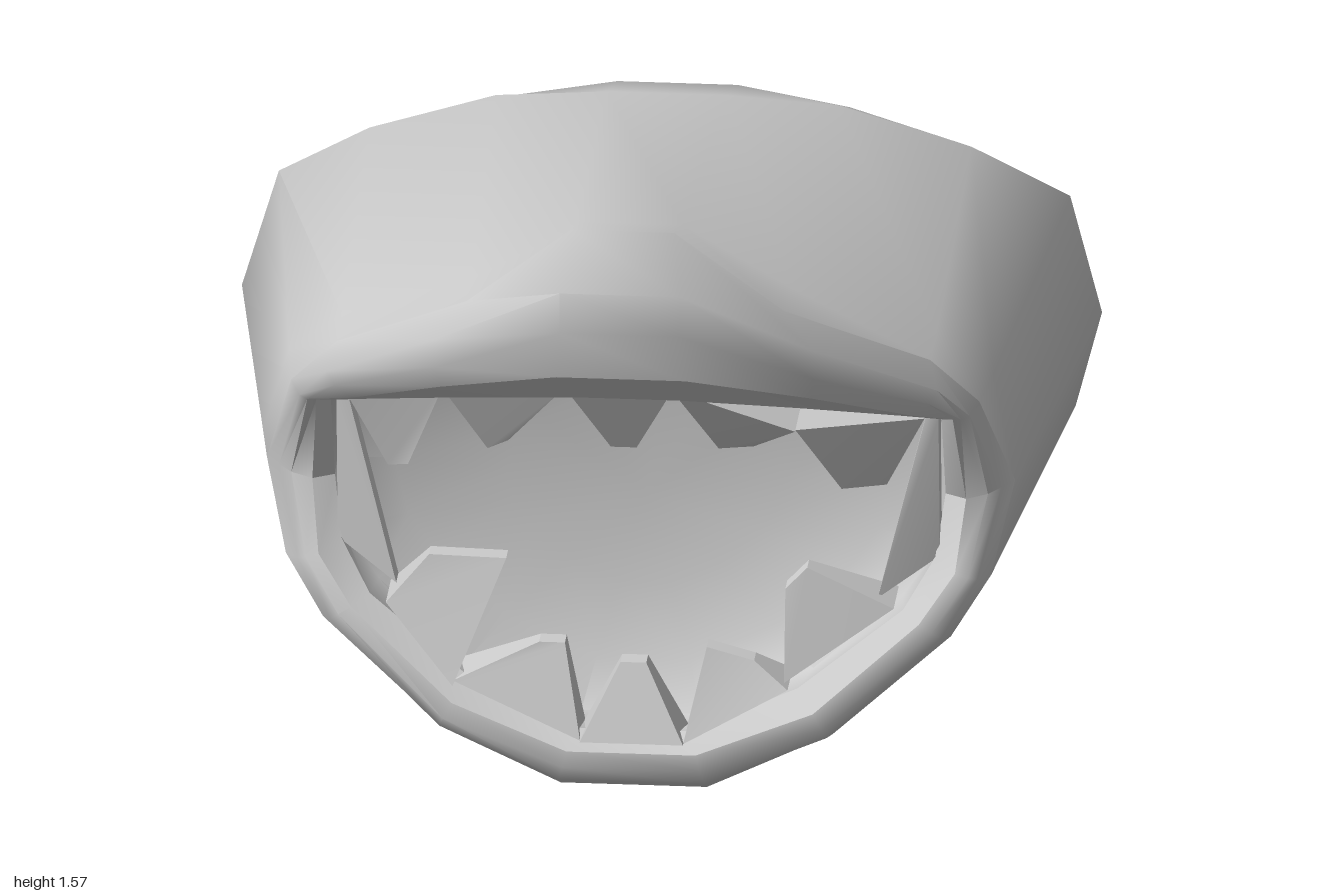
import * as THREE from 'three';
import { toCreasedNormals } from 'three/addons/utils/BufferGeometryUtils.js';

const material = new THREE.MeshStandardMaterial({ color: 0xcccccc, side: THREE.DoubleSide });

// Half cross-sections on the left side, from the crown down to the chin.
const backRim = [[.14, 1.14, -.85], [.4, 1.11, -.85], [.62, 1.06, -.85], [.78, .97, -.85], [.78, .76, -.85],
  [.72, .59, -.85], [.62, .44, -.85], [.46, .22, -.85], [.14, .11, -.85]];
const widest = [[.14, 1.42, -.44], [.4, 1.39, -.47], [.7, 1.27, -.54], [.92, 1.11, -.65], [1, .85, -.58],
  [.94, .62, -.57], [.81, .44, -.54], [.56, .19, -.47], [.18, 0, -.44]];
const frontEdge = [[.12, 1.57, .78], [.37, 1.35, .7], [.69, 1.15, .48], [.8, 1.03, .43], [.87, .77, .27],
  [.82, .56, .34], [.73, .42, .38], [.46, .19, .44], [.17, .06, .47]];
const lipFront = [[.14, 1.44, .855], [.44, 1.26, .72], [.71, 1.09, .52], [.78, 1, .45], [.84, .76, .29],
  [.79, .56, .37], [.71, .43, .42], [.45, .2, .49], [.17, .09, .525]];
const lipMid = [[.14, 1.34, .855], [.44, 1.19, .72], [.69, 1.06, .53], [.76, .995, .46], [.81, .75, .31],
  [.77, .57, .39], [.69, .45, .44], [.44, .23, .52], [.16, .13, .55]];
const lipInner = [[.15, 1.22, .83], [.43, 1.13, .69], [.65, 1.03, .53], [.74, .99, .45], [.76, .74, .32],
  [.74, .58, .39], [.66, .47, .44], [.42, .27, .52], [.15, .17, .55]];
const gumEdge = [[.12, 1.11, .68], [.39, 1.06, .58], [.62, 1, .46], [.71, .97, .4], [.71, .74, .29],
  [.69, .6, .34], [.62, .49, .4], [.38, .31, .46], [.13, .21, .5]];

const mix = (a, b, t) => a.map((p, i) => p.map((v, k) => v + (b[i][k] - v) * t));
// Lifts a section, most at the crown and not at all below the cheeks.
const lift = (half, dy, dz = 0) => half.map(([x, y, z], i) => {
  const w = Math.max(0, 1 - i / 4);
  return [x, y + dy * w, z + dz * w];
});

// Skins mirrored cross-sections into one surface.
function loft(halves, crease) {
  const rings = halves.map(h => [...h, ...[...h].reverse().map(([x, y, z]) => [-x, y, z])]);
  const n = rings[0].length, index = [];
  for (let r = 0; r < rings.length - 1; r++) {
    for (let j = 0; j < n; j++) {
      const k = (j + 1) % n;
      const a = r * n + j, b = a + n, c = (r + 1) * n + k, d = r * n + k;
      index.push(a, b, c, a, c, d);
    }
  }
  const g = new THREE.BufferGeometry();
  g.setAttribute('position', new THREE.Float32BufferAttribute(rings.flat(2), 3));
  g.setIndex(index);
  return toCreasedNormals(g, crease);
}

// Blunt wedge: a box whose front corners are given, tapering towards the tip.
function tooth(topL, topR, lowL, lowR, depthTop, depthLow) {
  const g = new THREE.BoxGeometry(1, 1, 1);
  const p = g.attributes.position;
  for (let i = 0; i < p.count; i++) {
    const top = p.getY(i) > 0, left = p.getX(i) > 0;
    const c = top ? (left ? topL : topR) : (left ? lowL : lowR);
    const back = p.getZ(i) < 0 ? (top ? depthTop : depthLow) : 0;
    p.setXYZ(i, c[0], c[1], c[2] - back);
  }
  g.computeVertexNormals();
  return g;
}

export function createModel() {
  const group = new THREE.Group();
  const add = (parent, name, geometry) => {
    const m = new THREE.Mesh(geometry, material);
    m.name = name;
    parent.add(m);
  };

  // Hollow head, open at the back
  add(group, 'headShell', loft([
    backRim,
    lift(mix(widest, backRim, .55), .06, -.07),
    widest,
    lift(mix(frontEdge, widest, .16), -.035),
    frontEdge,
  ], 1.1));

  // Brow and lips rolling towards the mouth, then the crisp inner edge
  add(group, 'lips', loft([frontEdge, lipFront, lipMid, lipInner], 0.9));
  add(group, 'lipUnderside', loft([lipInner, gumEdge], 0.6));

  // Mouth lining: a shallow bowl behind the gums
  const bag = (s, z) => mix(frontEdge, widest, .4).map(([x, y]) => [x * s, .66 + (y - .66) * s, z]);
  add(group, 'mouthLining', loft([gumEdge, bag(.8, .27), bag(.63, .2), bag(.35, .16), bag(0, .15)], 1.2));

  // Upper teeth: base left, base right, tip left, tip right
  const upper = new THREE.Group();
  upper.name = 'upperTeeth';
  [
    [[.67, .97, .4], [.38, .98, .52], [.58, .79, .37], [.48, .8, .43]],
    [[.38, .98, .53], [.1, 1.1, .6], [.28, .92, .48], [.2, .92, .5]],
    [[.1, 1.1, .6], [-.15, 1.1, .6], [.01, .92, .51], [-.05, .92, .51]],
    [[-.15, 1.1, .6], [-.44, 1.06, .53], [-.29, .92, .49], [-.34, .89, .47]],
    [[-.44, 1.06, .52], [-.67, .98, .4], [-.53, .82, .41], [-.58, .8, .37]],
  ].forEach(([bl, br, tl, tr]) => add(upper, 'upperTooth', tooth(bl, br, tl, tr, .16, .08)));
  group.add(upper);

  // Lower teeth: tip left, tip right, base left, base right
  const lower = new THREE.Group();
  lower.name = 'lowerTeeth';
  [
    [[.4, .6, .43], [.35, .55, .44], [.6, .5, .42], [.35, .33, .48]],
    [[.28, .38, .47], [.17, .41, .47], [.36, .32, .5], [.12, .19, .53]],
    [[.03, .37, .48], [-.03, .37, .48], [.12, .19, .54], [-.12, .19, .54]],
    [[-.16, .41, .47], [-.22, .41, .47], [-.12, .19, .53], [-.42, .31, .48]],
    [[-.3, .6, .43], [-.48, .6, .42], [-.42, .3, .49], [-.58, .48, .43]],
  ].forEach(([tl, tr, bl, br]) => add(lower, 'lowerTooth', tooth(tl, tr, bl, br, .05, .14)));
  group.add(lower);

  // Tall corner gums beside the bite
  for (const s of [1, -1]) {
    const g = tooth([.7, .96, .37], [.67, .96, .37], [.7, .6, .33], [.56, .51, .38], .06, .06);
    if (s < 0) {
      g.scale(-1, 1, 1);
      const idx = g.index.array;
      for (let i = 0; i < idx.length; i += 3) [idx[i], idx[i + 1]] = [idx[i + 1], idx[i]];
      g.computeVertexNormals();
    }
    add(group, 'cornerGum', g);
  }
  return group;
}
